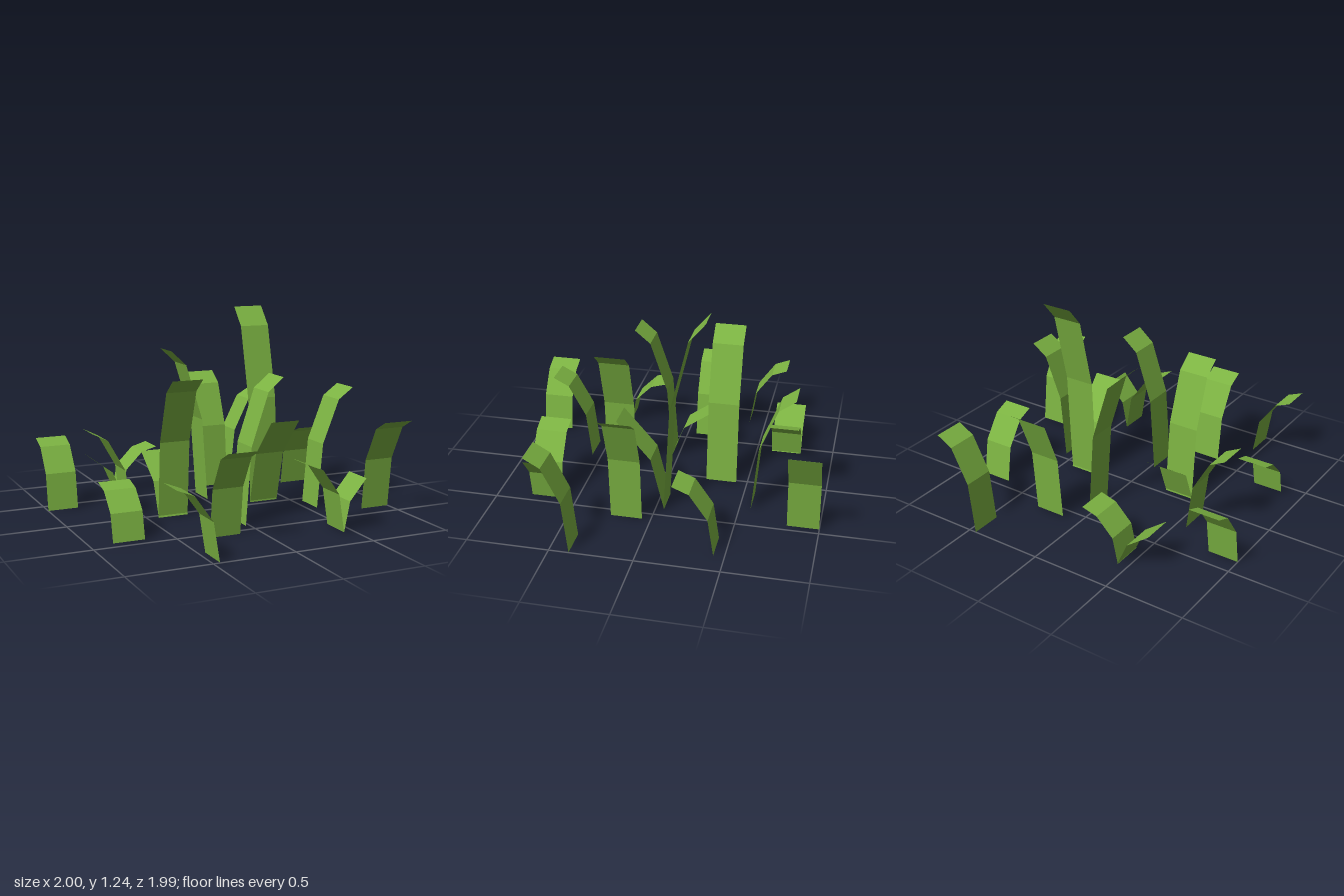
import * as THREE from 'three';

const WIDTH = 0.193;

// Folded strip: profile is a list of [reach, height]; the blade leans along +z
function bladeGeometry(profile) {
  const w = WIDTH / 2;
  const pos = [];
  for (let i = 0; i < profile.length - 1; i++) {
    const [z0, y0] = profile[i];
    const [z1, y1] = profile[i + 1];
    pos.push(-w, y0, z0, -w, y1, z1, w, y1, z1);
    pos.push(-w, y0, z0, w, y1, z1, w, y0, z0);
  }
  const geo = new THREE.BufferGeometry();
  geo.setAttribute('position', new THREE.Float32BufferAttribute(pos, 3));
  geo.computeVertexNormals();
  return geo;
}

// Long blade: upright base, leaning middle, drooping tip
const longProfile = (h) => [[0, 0], [0.036, 0.54 * h], [0.145, 0.905 * h], [0.245, h]];
// Side shoot: short base and one leaning leaf
const shootProfile = (h, knee, reach) => [[0, 0], [knee, 0.585 * h], [reach, h]];

// Turn that points the lean in each direction
const TURN = { '+z': 0, '+x': Math.PI / 2, '-z': Math.PI, '-x': -Math.PI / 2 };

export function createModel() {
  const group = new THREE.Group();
  group.name = 'grassPatch';
  const green = new THREE.MeshStandardMaterial({
    color: 0x7cb342, flatShading: true, side: THREE.DoubleSide,
  });

  const add = (name, profile, x, z, lean) => {
    const mesh = new THREE.Mesh(bladeGeometry(profile), green);
    mesh.name = name;
    mesh.position.set(x, 0, z);
    mesh.rotation.y = TURN[lean];
    group.add(mesh);
  };

  // Long blades: base x, base z, lean, height
  [
    [-0.903, -0.39, '-z', 0.42],
    [-0.765, 0.43, '-z', 0.30],
    [-0.335, 0.04, '+z', 0.875],
    [-0.225, 0.56, '+z', 0.54],
    [0.22, -0.568, '-z', 0.755],
    [0.335, -0.05, '-z', 1.24],
    [0.76, -0.435, '+z', 0.425],
    [0.903, 0.38, '+z', 0.59],
    [0.453, -0.903, '+x', 0.59],
    [-0.438, -0.695, '+x', 0.30],
    [0.022, -0.335, '-x', 0.98],
    [-0.568, -0.155, '-x', 0.535],
    [-0.026, 0.33, '+x', 0.88],
    [0.563, 0.15, '+x', 0.755],
    [0.435, 0.69, '-x', 0.425],
    [-0.458, 0.897, '-x', 0.42],
  ].forEach(([x, z, lean, h], i) => add(`longBlade${i + 1}`, longProfile(h), x, z, lean));

  // Side shoots sharing a root: base x, base z, lean, height, knee, reach
  [
    [-0.335, 0.045, '-z', 0.36, 0.083, 0.293],
    [0.335, -0.053, '+z', 0.57, 0.083, 0.29],
    [-0.435, -0.695, '-x', 0.26, 0.065, 0.208],
    [0.435, 0.69, '+x', 0.31, 0.037, 0.145],
  ].forEach(([x, z, lean, h, knee, reach], i) =>
    add(`sideShoot${i + 1}`, shootProfile(h, knee, reach), x, z, lean));

  return group;
}
